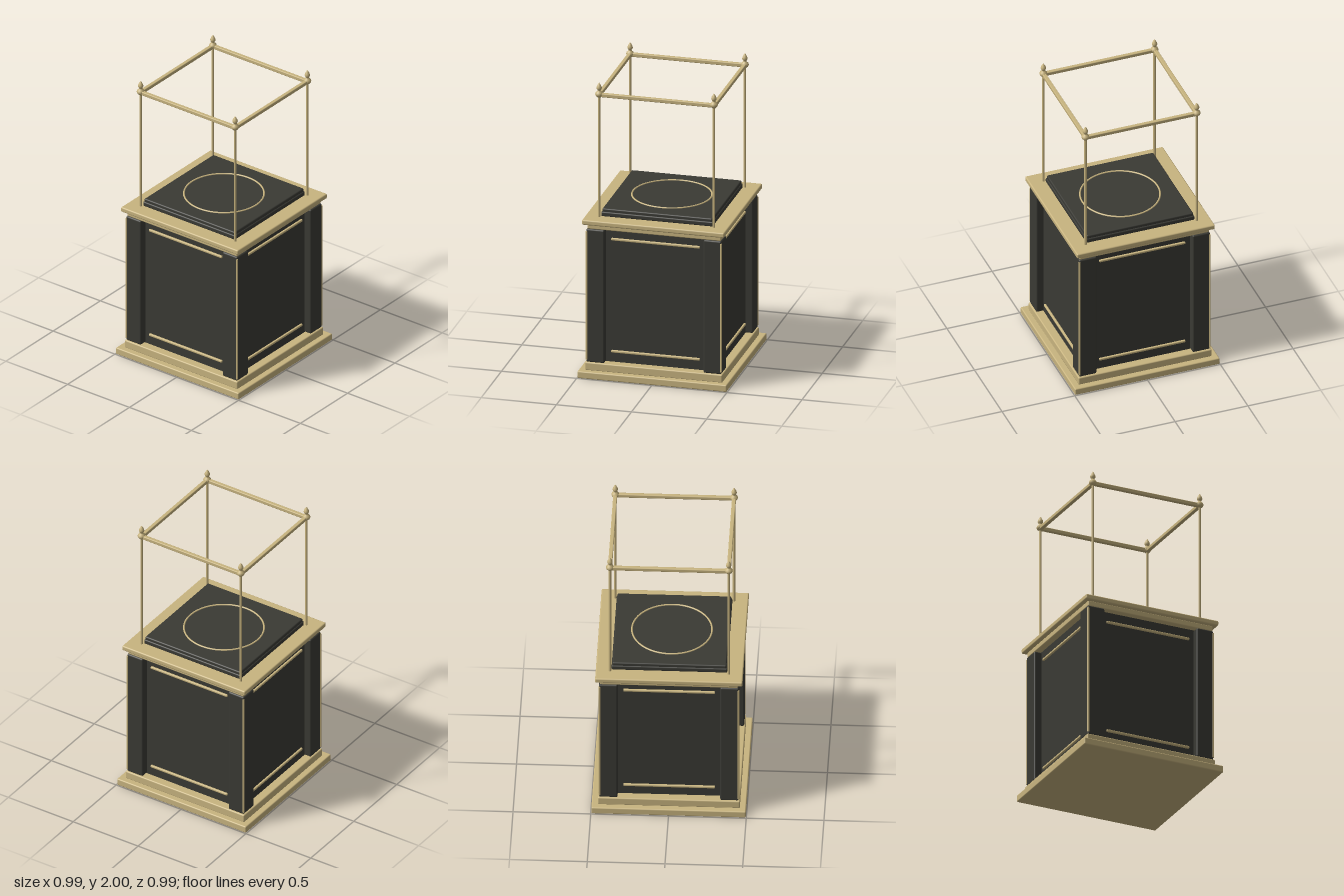
import * as THREE from 'three';
import { RoundedBoxGeometry } from 'three/addons/geometries/RoundedBoxGeometry.js';

export function createModel() {
  const model = new THREE.Group();
  model.name = 'displayPedestal';
  const gold = new THREE.MeshStandardMaterial({ color: 0xc8b47f });
  gold.name = 'brass';
  const dark = new THREE.MeshStandardMaterial({ color: 0x3a3a34 });
  dark.name = 'ebony';

  const add = (name, geometry, material, x = 0, y = 0, z = 0, parent = model) => {
    const mesh = new THREE.Mesh(geometry, material);
    mesh.name = name;
    mesh.position.set(x, y, z);
    parent.add(mesh);
    return mesh;
  };
  // Square slab with softened edges, given its half width and height range
  const slab = (name, half, y0, y1, bevel, material) =>
    add(name, new RoundedBoxGeometry(half * 2, y1 - y0, half * 2, 2, bevel), material, 0, (y0 + y1) / 2, 0);

  // Stepped plinth and cornice
  slab('plinthLower', 0.497, 0, 0.048, 0.008, gold);
  slab('plinthUpper', 0.457, 0.044, 0.1, 0.008, gold);
  slab('corniceLower', 0.445, 1.012, 1.05, 0.007, gold);
  slab('corniceUpper', 0.474, 1.046, 1.08, 0.009, gold);

  // Cabinet body and raised top board
  add('body', new THREE.BoxGeometry(0.8, 0.93, 0.8), dark, 0, 0.555, 0);
  slab('topBoardLower', 0.372, 1.078, 1.11, 0.008, dark);
  slab('topBoardUpper', 0.366, 1.1, 1.131, 0.008, dark);
  const ring = add('inlayRing', new THREE.TorusGeometry(0.258, 0.006, 8, 48), gold, 0, 1.132, 0);
  ring.rotation.x = Math.PI / 2;

  // Finial profile: collar ball, neck and pointed bud
  const finialProfile = [
    [0, 1.898], [0.012, 1.9], [0.022, 1.91], [0.026, 1.921], [0.022, 1.932], [0.012, 1.941],
    [0.01, 1.947], [0.015, 1.955], [0.018, 1.963], [0.015, 1.974], [0.008, 1.988], [0, 2],
  ].map(([r, y]) => new THREE.Vector2(r, y));
  const finialGeo = new THREE.LatheGeometry(finialProfile, 20);
  const pilasterGeo = new RoundedBoxGeometry(0.12, 0.912, 0.12, 2, 0.01);
  const beadGeo = new THREE.CylinderGeometry(0.007, 0.007, 0.88, 10);
  const postGeo = new THREE.CylinderGeometry(0.0085, 0.0085, 0.83, 12);

  // Four corners: pilaster, edge bead, post and finial
  for (const sx of [-1, 1]) {
    for (const sz of [-1, 1]) {
      add('pilaster', pilasterGeo, dark, sx * 0.39, 0.556, sz * 0.39);
      add('cornerBead', beadGeo, gold, sx * 0.447, 0.556, sz * 0.447);
      add('post', postGeo, gold, sx * 0.382, 1.493, sz * 0.382);
      add('finial', finialGeo, gold, sx * 0.382, 0, sz * 0.382);
    }
  }

  // Four sides: panel mouldings and top rail
  const mouldingGeo = new RoundedBoxGeometry(0.59, 0.016, 0.02, 2, 0.005);
  const railGeo = new RoundedBoxGeometry(0.764, 0.025, 0.026, 2, 0.005);
  for (let i = 0; i < 4; i++) {
    const side = new THREE.Group();
    side.name = 'side';
    side.rotation.y = i * Math.PI / 2;
    model.add(side);
    add('upperMoulding', mouldingGeo, gold, 0, 0.942, 0.403, side);
    add('lowerMoulding', mouldingGeo, gold, 0, 0.173, 0.403, side);
    add('topRail', railGeo, gold, 0, 1.916, 0.382, side);
  }
  return model;
}
